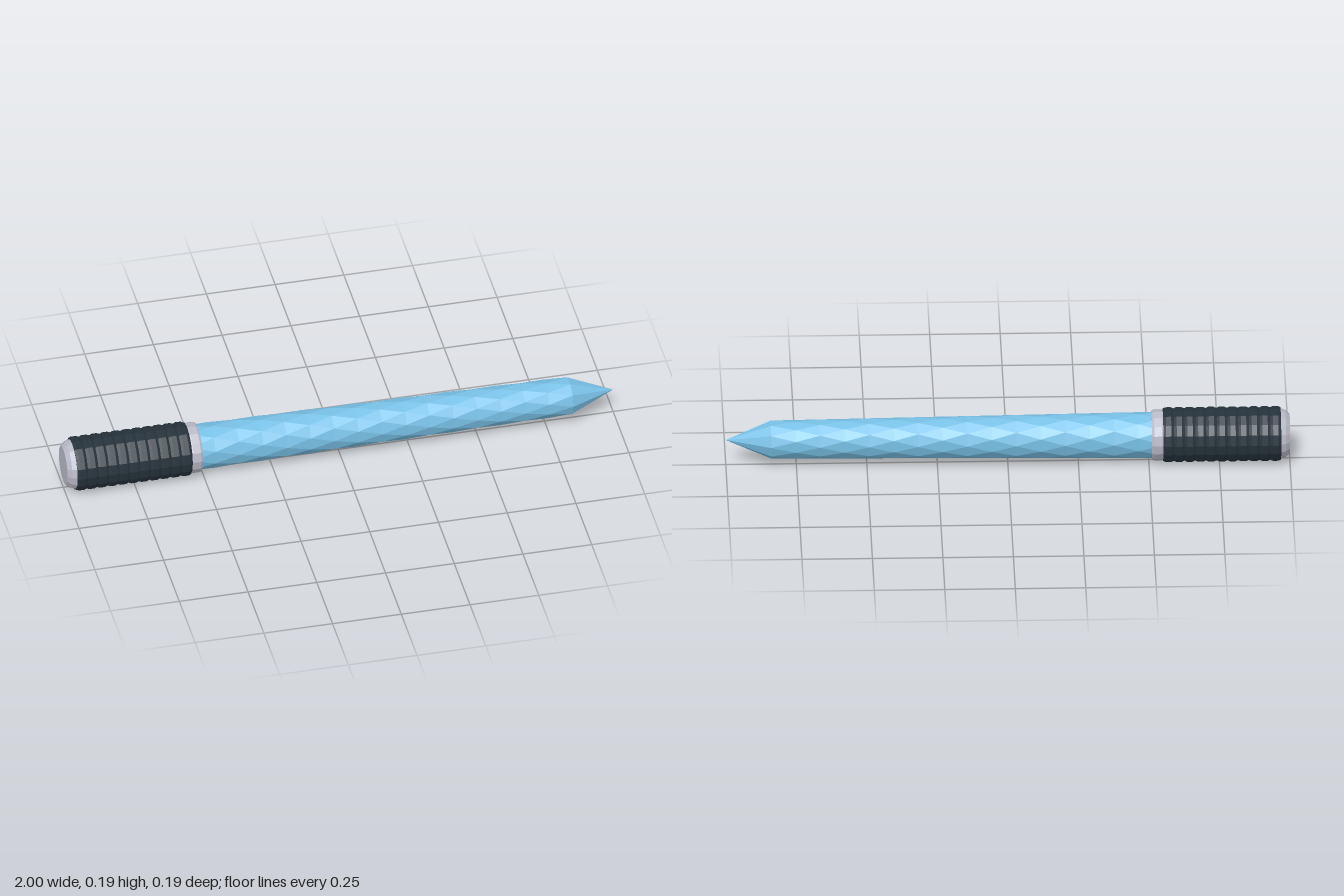
import * as THREE from 'three';

const AXIS_Y = 0.098;

function material(name, color) {
  const m = new THREE.MeshStandardMaterial({ color });
  m.name = name;
  return m;
}

// Faceted normals for a crisp low-poly look
function faceted(geometry) {
  const g = geometry.index ? geometry.toNonIndexed() : geometry;
  g.computeVertexNormals();
  return g;
}

// Turned part along x from [x, radius] pairs
function turned(name, profile, mat) {
  const points = profile.map(([x, r]) => new THREE.Vector2(r, x));
  const g = new THREE.LatheGeometry(points, 16);
  g.rotateZ(-Math.PI / 2);
  const mesh = new THREE.Mesh(faceted(g), mat);
  mesh.name = name;
  return mesh;
}

// Blade: rings each turned by half a side, giving long diamond facets, then a point
function bladeGeometry() {
  const sides = 10, rings = 16, start = -0.55, end = 0.84;
  const positions = [];
  const corner = (k, j) => {
    const t = k / rings;
    const r = THREE.MathUtils.lerp(0.083, 0.068, t);
    const a = ((j + k / 2) * Math.PI * 2) / sides;
    return [start + (end - start) * t, r * Math.sin(a), r * Math.cos(a)];
  };
  for (let j = 0; j < sides; j++) {
    for (let k = 0; k < rings; k++) {
      positions.push(...corner(k, j + 1), ...corner(k, j), ...corner(k + 1, j));
      positions.push(...corner(k + 1, j), ...corner(k + 1, j + 1), ...corner(k, j + 1));
    }
    positions.push(...corner(rings, j + 1), ...corner(rings, j), 1, 0, 0);
  }
  const g = new THREE.BufferGeometry();
  g.setAttribute('position', new THREE.Float32BufferAttribute(positions, 3));
  return faceted(g);
}

export function createModel() {
  const blue = material('crystal blue', 0x78c0e6);
  const dark = material('dark grip', 0x25323b);
  const metal = material('pale metal', 0xb9bac8);

  const model = new THREE.Group();
  model.name = 'crystalRod';

  const blade = new THREE.Mesh(bladeGeometry(), blue);
  blade.name = 'blade';
  model.add(blade);

  // Grip with shallow ribs
  const ribs = 11, from = -0.968, to = -0.55, pitch = (to - from) / ribs;
  const grip = [[from, 0]];
  for (let i = 0; i < ribs; i++) {
    const x = from + i * pitch;
    grip.push([x, 0.093], [x + pitch * 0.25, 0.0975], [x + pitch * 0.75, 0.0975]);
  }
  grip.push([to, 0.093], [to, 0]);
  model.add(turned('grip', grip, dark));

  // Collar between grip and blade
  model.add(turned('collar', [
    [-0.555, 0], [-0.555, 0.088], [-0.545, 0.091], [-0.518, 0.091], [-0.51, 0.086], [-0.51, 0],
  ], metal));

  // Bevelled end cap
  model.add(turned('endCap', [
    [-1, 0], [-1, 0.07], [-0.985, 0.084], [-0.965, 0.091], [-0.96, 0],
  ], metal));

  for (const part of model.children) part.position.y = AXIS_Y;
  return model;
}
